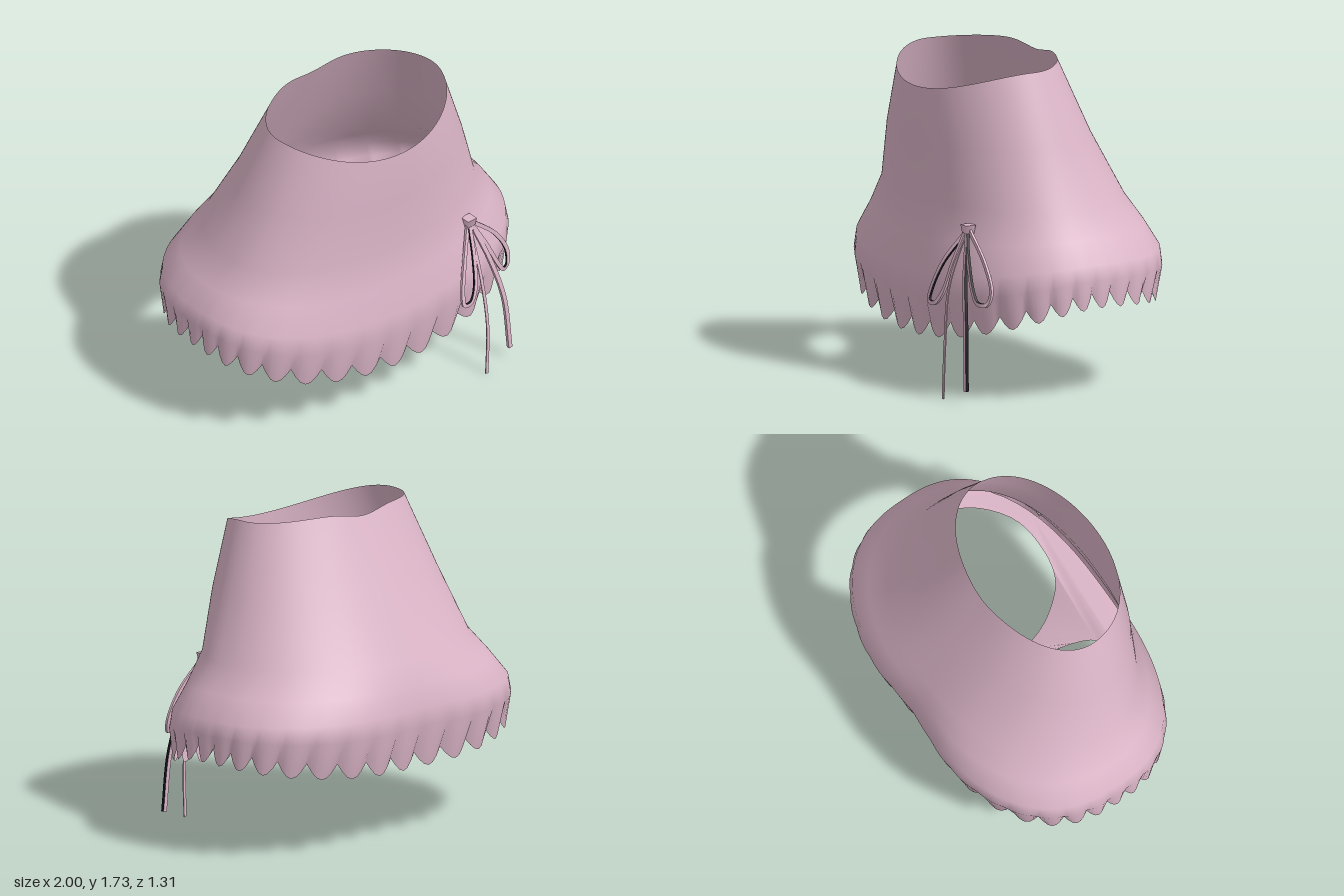
import * as THREE from 'three';

const pink = new THREE.MeshStandardMaterial({ color: 0xdbb5c7, side: THREE.DoubleSide });
pink.name = 'pinkCloth';
const dark = new THREE.MeshStandardMaterial({ color: 0x16141c });
dark.name = 'darkTrim';

const TEETH = 34, COLS = TEETH * 6;

// Rings from waist to hem: half width, front z, back z, centre z,
// heights at front, side and back, squareness, centre back dip, pleat depth, scallop height
const RINGS = [
  [0.54, 0.55, -0.19, 0.15, 1.59, 1.71, 1.745, 2.0, 0, 0, 0],
  [0.68, 0.56, -0.365, 0.1, 1.3, 1.33, 1.33, 2.1, 0, 0, 0],
  [0.79, 0.545, -0.55, 0.05, 1.0, 1.0, 0.98, 2.2, 0.01, 0, 0],
  [0.9, 0.575, -0.62, 0.02, 0.8, 0.86, 0.86, 2.3, 0.03, 0, 0],
  [0.98, 0.615, -0.665, 0, 0.63, 0.74, 0.74, 2.5, 0.04, 0, 0],
  [1.0, 0.625, -0.675, 0, 0.5, 0.66, 0.64, 2.5, 0.045, 0.006, 0],
  [0.995, 0.585, -0.625, 0, 0.31, 0.55, 0.45, 2.5, 0.04, 0.022, 0.04],
];

// Point on a ring; angle 0 is the front, growing towards +x
function ringPoint([X, F, B, zc, yf, ys, yb, n, dip, pleat, scallop], a) {
  const s = Math.sin(a), c = Math.cos(a);
  const wave = Math.abs(Math.sin(a * TEETH / 2));
  const centreBack = Math.exp(-(((a - Math.PI) / 0.28) ** 2));
  const r = (Math.abs(s) ** n + Math.abs(c) ** n) ** (-1 / n) - pleat * (1 - wave);
  const z = zc + r * c * (c > 0 ? F - zc : zc - B) + dip * centreBack;
  let y = ys + ((c > 0 ? yf : yb) - ys) * c * c + scallop * (1 - 2 * wave);
  if (yf > 1.5) y -= 0.035 * centreBack;
  return new THREE.Vector3(X * r * s, y, z);
}

function skirtGeometry() {
  const pos = [], idx = [];
  RINGS.forEach((ring, i) => {
    for (let j = 0; j < COLS; j++) {
      const p = ringPoint(ring, (j / COLS) * Math.PI * 2);
      pos.push(p.x, p.y, p.z);
      if (i === RINGS.length - 1) continue;
      const k = (j + 1) % COLS, a = i * COLS, b = a + COLS;
      idx.push(a + j, b + j, a + k, a + k, b + j, b + k);
    }
  });
  const g = new THREE.BufferGeometry();
  g.setAttribute('position', new THREE.Float32BufferAttribute(pos, 3));
  g.setIndex(idx);
  g.computeVertexNormals();
  return g;
}

// Inner panel with two leg openings and a sagging centre strap
function liningGeometry() {
  const rim = [0.975, 0.6, -0.63, 0, 0.6, 0.6, 0.6, 2.5, 0.03, 0, 0];
  const outline = [];
  for (let j = 0; j < 72; j++) {
    const p = ringPoint(rim, (j / 72) * Math.PI * 2);
    outline.push(new THREE.Vector2(p.x, p.z));
  }
  const shape = new THREE.Shape(outline);
  const leg = [[0.05, -0.2], [0.04, 0], [0.055, 0.18], [0.11, 0.32], [0.2, 0.42], [0.36, 0.46],
    [0.6, 0.43], [0.8, 0.25], [0.85, 0], [0.77, -0.25], [0.5, -0.43], [0.22, -0.48], [0.08, -0.38]];
  for (const side of [1, -1]) {
    const curve = new THREE.CatmullRomCurve3(leg.map(([x, z]) => new THREE.Vector3(side * x, z, 0)), true);
    shape.holes.push(new THREE.Path(curve.getPoints(60).slice(0, -1).map(p => new THREE.Vector2(p.x, p.y))));
  }
  const g = new THREE.ShapeGeometry(shape);
  const p = g.attributes.position;
  for (let i = 0; i < p.count; i++) {
    const x = p.getX(i), z = p.getY(i);
    const strap = Math.min(0.6, 0.37 + (z > 0.1 ? 1.6 : 0.95) * (z - 0.1) ** 2);
    p.setXYZ(i, x, 0.6 + (strap - 0.6) * Math.exp(-((x / 0.28) ** 2)), z);
  }
  g.computeVertexNormals();
  return g;
}

// Ribbon: a thin box bent along a curve, with one edge trimmed dark
function ribbon(name, points, width, depth, edge) {
  const curve = new THREE.CatmullRomCurve3(points.map(p => new THREE.Vector3(...p)));
  const g = new THREE.BoxGeometry(width, depth, 1, 1, 1, 40);
  const p = g.attributes.position, v = new THREE.Vector3();
  const forward = new THREE.Vector3(0, 0, 1);
  for (let i = 0; i < p.count; i++) {
    const t = THREE.MathUtils.clamp(p.getZ(i) + 0.5, 0, 1);
    const across = forward.clone().cross(curve.getTangent(t)).normalize();
    v.copy(curve.getPoint(t)).addScaledVector(across, p.getX(i)).addScaledVector(forward, p.getY(i));
    p.setXYZ(i, v.x, v.y, v.z);
  }
  g.computeVertexNormals();
  const mesh = new THREE.Mesh(g, [edge, pink, pink, pink, pink, pink]);
  mesh.name = name;
  return mesh;
}

function createBow() {
  const bow = new THREE.Group();
  bow.name = 'bow';

  // Knot, wider at the top
  const knotShape = new THREE.CylinderGeometry(0.042, 0.03, 0.055, 4, 1);
  knotShape.rotateY(Math.PI / 4);
  const knot = new THREE.Mesh(knotShape, pink);
  knot.name = 'knot';
  knot.position.set(0.48, 0.895, 0.515);
  bow.add(knot);

  // Loops run down the inner side and back up the outer side
  bow.add(ribbon('rightLoop', [[0.465, 0.88, 0.52], [0.375, 0.72, 0.6], [0.325, 0.57, 0.645], [0.325, 0.505, 0.66],
    [0.375, 0.5, 0.655], [0.42, 0.56, 0.635], [0.45, 0.72, 0.59], [0.472, 0.88, 0.53]], 0.022, 0.014, dark));
  bow.add(ribbon('leftLoop', [[0.49, 0.88, 0.53], [0.56, 0.74, 0.56], [0.63, 0.59, 0.575], [0.67, 0.535, 0.57],
    [0.72, 0.535, 0.545], [0.735, 0.6, 0.525], [0.66, 0.74, 0.52], [0.5, 0.89, 0.515]], 0.022, 0.014, dark));

  // Hanging tails
  bow.add(ribbon('rightTail', [[0.475, 0.88, 0.525], [0.47, 0.6, 0.625], [0.485, 0.3, 0.66], [0.475, 0.002, 0.665]],
    0.018, 0.006, pink));
  bow.add(ribbon('leftTail', [[0.49, 0.88, 0.525], [0.565, 0.65, 0.585], [0.63, 0.4, 0.62], [0.66, 0.07, 0.635]],
    0.024, 0.018, dark));
  return bow;
}

export function createModel() {
  const model = new THREE.Group();
  model.name = 'frilledSkirt';
  const skirt = new THREE.Mesh(skirtGeometry(), pink);
  skirt.name = 'skirt';
  const lining = new THREE.Mesh(liningGeometry(), pink);
  lining.name = 'lining';
  model.add(skirt, lining, createBow());
  return model;
}
